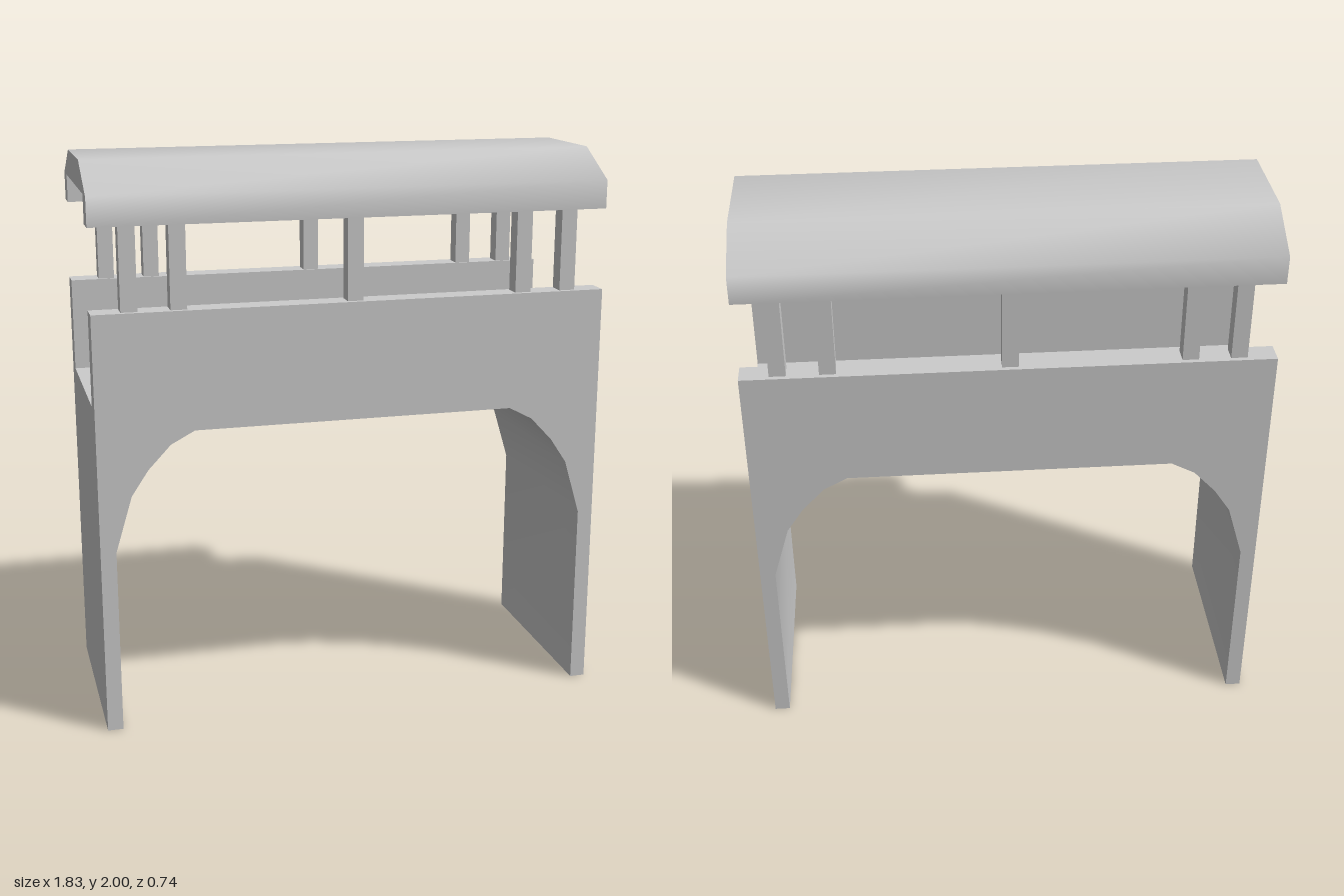
import * as THREE from 'three';
import { toCreasedNormals } from 'three/addons/utils/BufferGeometryUtils.js';

const HALF_W = 0.915, HALF_D = 0.37;

// Closed outline from the right half of a symmetric profile
function mirrored(half) {
  const left = half.map(([x, y]) => [-x, y]).reverse();
  return new THREE.Shape([...half, ...left].map(([x, y]) => new THREE.Vector2(x, y)));
}

function extrude(shape, depth, crease) {
  const geo = new THREE.ExtrudeGeometry(shape, { depth, bevelEnabled: false });
  geo.translate(0, 0, -depth / 2);
  return toCreasedNormals(geo, THREE.MathUtils.degToRad(crease));
}

export function createModel() {
  const group = new THREE.Group();
  const grey = new THREE.MeshStandardMaterial({ color: 0xcccccc });
  const add = (name, geo, x = 0, y = 0, z = 0) => {
    const mesh = new THREE.Mesh(geo, grey);
    mesh.name = name;
    mesh.position.set(x, y, z);
    group.add(mesh);
    return mesh;
  };

  // Gateway with faceted arch corners, topped by the walkway floor
  const arch = mirrored([
    [0.575, 1.09], [0.66, 1.045], [0.74, 0.96], [0.8, 0.87], [0.86, 0.67],
    [0.86, 0], [HALF_W, 0], [HALF_W, 1.175],
  ]);
  add('archway', extrude(arch, HALF_D * 2, 40));

  // Parapets and roof posts on both sides
  const wall = new THREE.BoxGeometry(HALF_W * 2, 0.335, 0.085);
  const post = new THREE.BoxGeometry(0.057, 0.3, 0.06);
  for (const side of [1, -1]) {
    add('parapet', wall, 0, 1.3425, side * 0.3275);
    for (const x of [-0.785, -0.617, 0, 0.617, 0.785]) {
      add('post', post, x, 1.655, side * 0.323);
    }
  }

  // Roof: sloped sides, flat top, recessed ceiling between the eaves
  const roof = mirrored([
    [0.285, 1.9], [0.285, 1.8], [HALF_D, 1.8], [HALF_D, 1.9], [0.18, 2],
  ]);
  add('roof', extrude(roof, HALF_W * 2, 65)).rotation.y = Math.PI / 2;

  return group;
}
